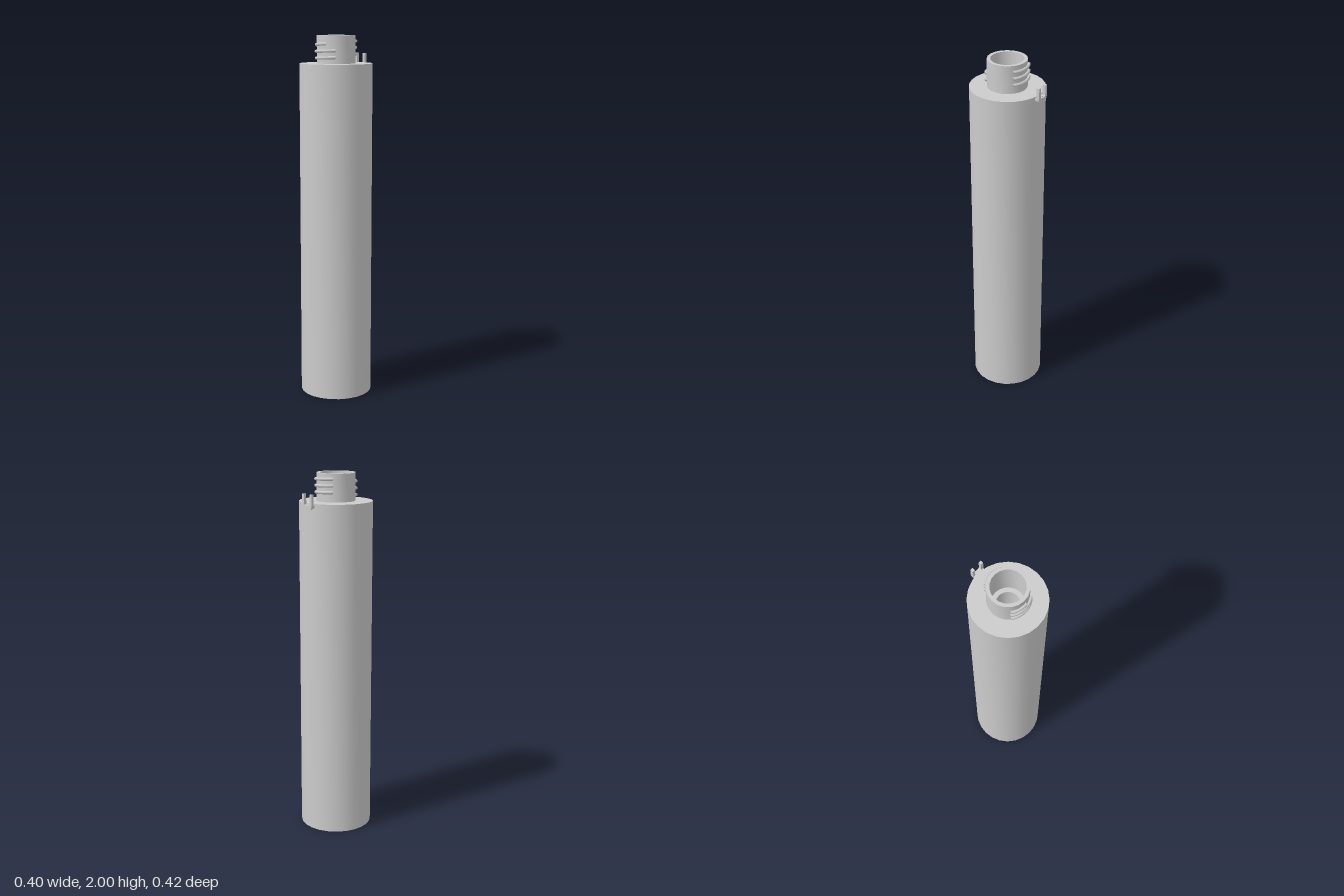
import * as THREE from 'three';
import { toCreasedNormals } from 'three/addons/utils/BufferGeometryUtils.js';

const material = new THREE.MeshStandardMaterial({ color: 0xcccccc });
const AXIS_Z = 0.01; // the tube sits slightly forward of centre because of the rear hook

function addPart(parent, name, geometry) {
  const mesh = new THREE.Mesh(geometry, material);
  mesh.name = name;
  parent.add(mesh);
  return mesh;
}

function lathe(profile, sides) {
  const points = profile.map(([r, y]) => new THREE.Vector2(r, y));
  return toCreasedNormals(new THREE.LatheGeometry(points, sides), 0.6);
}

// Arc of thread that sinks into the neck at both ends
class ThreadCurve extends THREE.Curve {
  constructor(middle, from, to, y, rise) {
    super();
    Object.assign(this, { middle, from, to, y, rise });
  }
  getPoint(t, target = new THREE.Vector3()) {
    const a = this.middle + THREE.MathUtils.lerp(this.from, this.to, t);
    const r = t < 0.02 || t > 0.98 ? 0.094 : 0.11;
    return target.set(r * Math.sin(a), this.y + this.rise * (t - 0.5), r * Math.cos(a));
  }
}

export function createModel() {
  const model = new THREE.Group();
  const tube = new THREE.Group();
  tube.name = 'tube';
  tube.position.z = AXIS_Z;
  model.add(tube);

  // Main cylinder with a bore through its full length
  addPart(tube, 'body', lathe(
    [[0.061, 0], [0.199, 0], [0.199, 1.85], [0.1, 1.85]], 24));
  addPart(tube, 'bore', lathe(
    [[0.085, 1.8], [0.061, 1.8], [0.061, 0]], 24));

  // Hollow neck with a wider counterbore
  addPart(tube, 'neck', lathe(
    [[0.105, 1.85], [0.105, 2], [0.087, 2], [0.085, 1.8]], 20));

  // Interrupted threads, three on the front and three on the back
  const threads = [
    [0, -0.72, 0.18, 1.953], [0, -0.75, 0.72, 1.917], [0, -0.72, 0.72, 1.881],
    [Math.PI, -0.72, 0.65, 1.97], [Math.PI, -0.72, 0.65, 1.935], [Math.PI, -0.72, 0.65, 1.9],
  ];
  for (const [middle, from, to, y] of threads) {
    const curve = new ThreadCurve(middle, from, to, y, 0.006);
    addPart(tube, 'thread', new THREE.TubeGeometry(curve, 16, 0.0085, 6));
  }

  // U-shaped hook on the upper rear edge
  const hook = new THREE.Shape();
  hook.moveTo(-0.02, 1.822);
  hook.lineTo(0.02, 1.822);
  hook.quadraticCurveTo(0.035, 1.824, 0.035, 1.842);
  hook.lineTo(0.035, 1.9);
  hook.lineTo(0.02, 1.9);
  hook.lineTo(0.02, 1.848);
  hook.quadraticCurveTo(0.018, 1.84, 0, 1.84);
  hook.quadraticCurveTo(-0.018, 1.84, -0.02, 1.848);
  hook.lineTo(-0.02, 1.9);
  hook.lineTo(-0.035, 1.9);
  hook.lineTo(-0.035, 1.842);
  hook.quadraticCurveTo(-0.035, 1.824, -0.02, 1.822);
  const hookGeometry = new THREE.ExtrudeGeometry(hook, { depth: 0.016, bevelEnabled: false, curveSegments: 5 });
  addPart(model, 'hook', hookGeometry).position.z = -0.21;

  // Short bridge joining the hook to the body
  const bridge = addPart(model, 'hookBridge', new THREE.BoxGeometry(0.066, 0.016, 0.026));
  bridge.position.set(0, 1.836, -0.188);

  return model;
}
